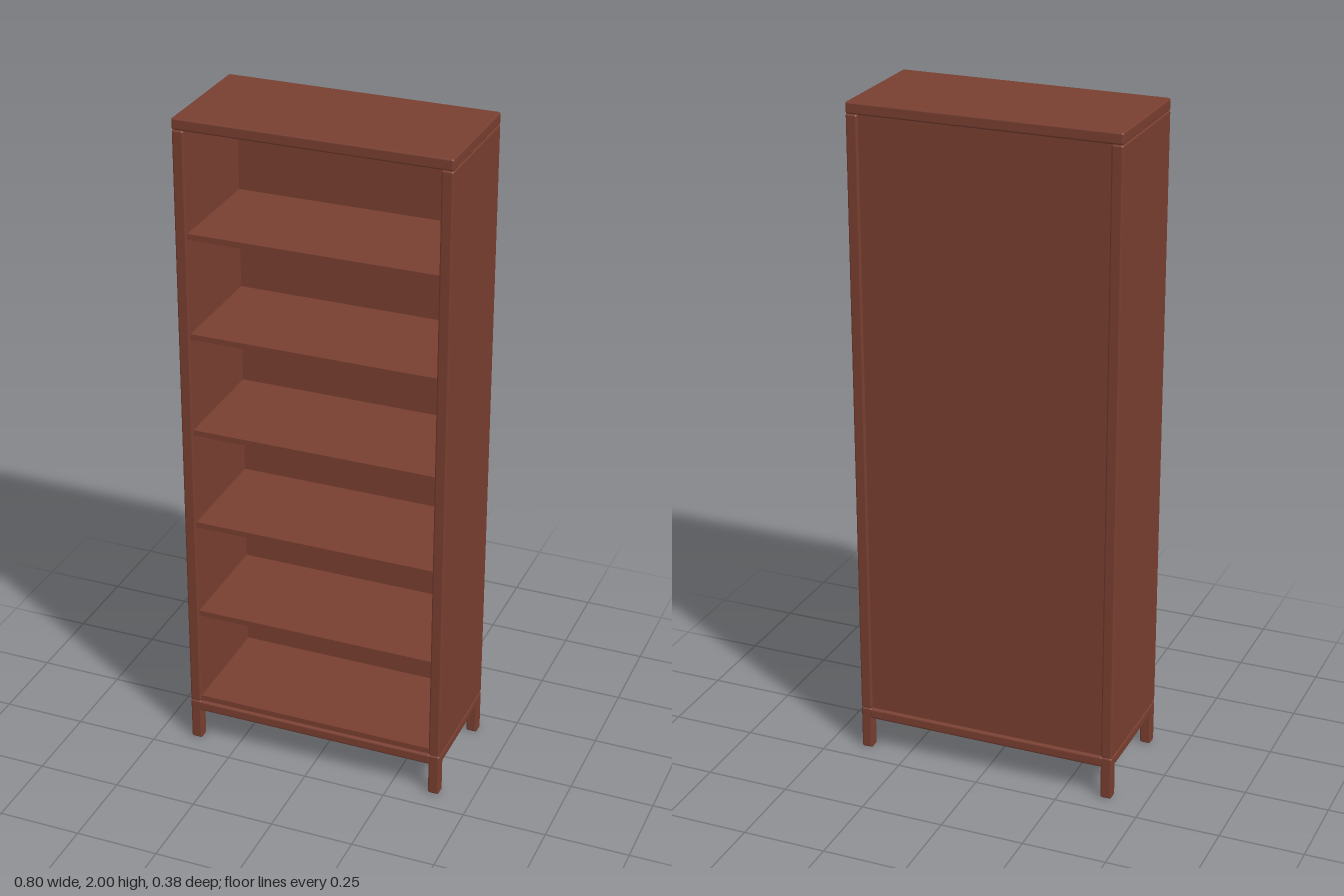
import * as THREE from 'three';
import { RoundedBoxGeometry } from 'three/addons/geometries/RoundedBoxGeometry.js';

export function createModel() {
  const model = new THREE.Group();
  model.name = 'bookcase';
  const wood = new THREE.MeshStandardMaterial({ color: 0x783e30 });
  wood.name = 'redBrownWood';

  const W = 0.4, D = 0.188;   // half width and half depth
  const T = 0.034;            // board and leg thickness
  const BASE = 0.134, TOP = 1.966;

  // A board given by its size and centre, with softened edges when r > 0
  function board(name, w, h, d, x, y, z, r = 0) {
    const geometry = r > 0 ? new RoundedBoxGeometry(w, h, d, 3, r) : new THREE.BoxGeometry(w, h, d);
    const mesh = new THREE.Mesh(geometry, wood);
    mesh.name = name;
    mesh.position.set(x, y, z);
    model.add(mesh);
  }

  // Carcass
  board('topBoard', 2 * W, 2 - TOP, 2 * D, 0, (2 + TOP) / 2, 0, 0.006);
  for (const s of [-1, 1]) {
    board(s > 0 ? 'leftSide' : 'rightSide', T, TOP - BASE, 2 * D, s * (W - T / 2), (TOP + BASE) / 2, 0, 0.006);
  }
  const inner = 2 * (W - T);
  board('backPanel', inner, TOP - BASE, 0.012, 0, (TOP + BASE) / 2, -D + 0.016);

  // Bottom board and five shelves
  for (let i = 0; i < 6; i++) {
    board(i ? 'shelf' : 'bottomBoard', inner, 0.017, 2 * D - 0.03, 0, 0.1435 + i * 0.303, 0.007);
  }

  // Base frame: four legs joined by rails
  for (const s of [-1, 1]) {
    for (const f of [-1, 1]) {
      board('leg', T, BASE, T, s * (W - T / 2), BASE / 2, f * (D - T / 2), 0.006);
    }
    board('sideRail', T, T, 2 * D - 1.6 * T, s * (W - T / 2), BASE - T / 2, 0, 0.008);
    board(s > 0 ? 'frontRail' : 'backRail', 2 * W - 1.6 * T, T, T, 0, BASE - T / 2, s * (D - T / 2), 0.008);
  }

  return model;
}
